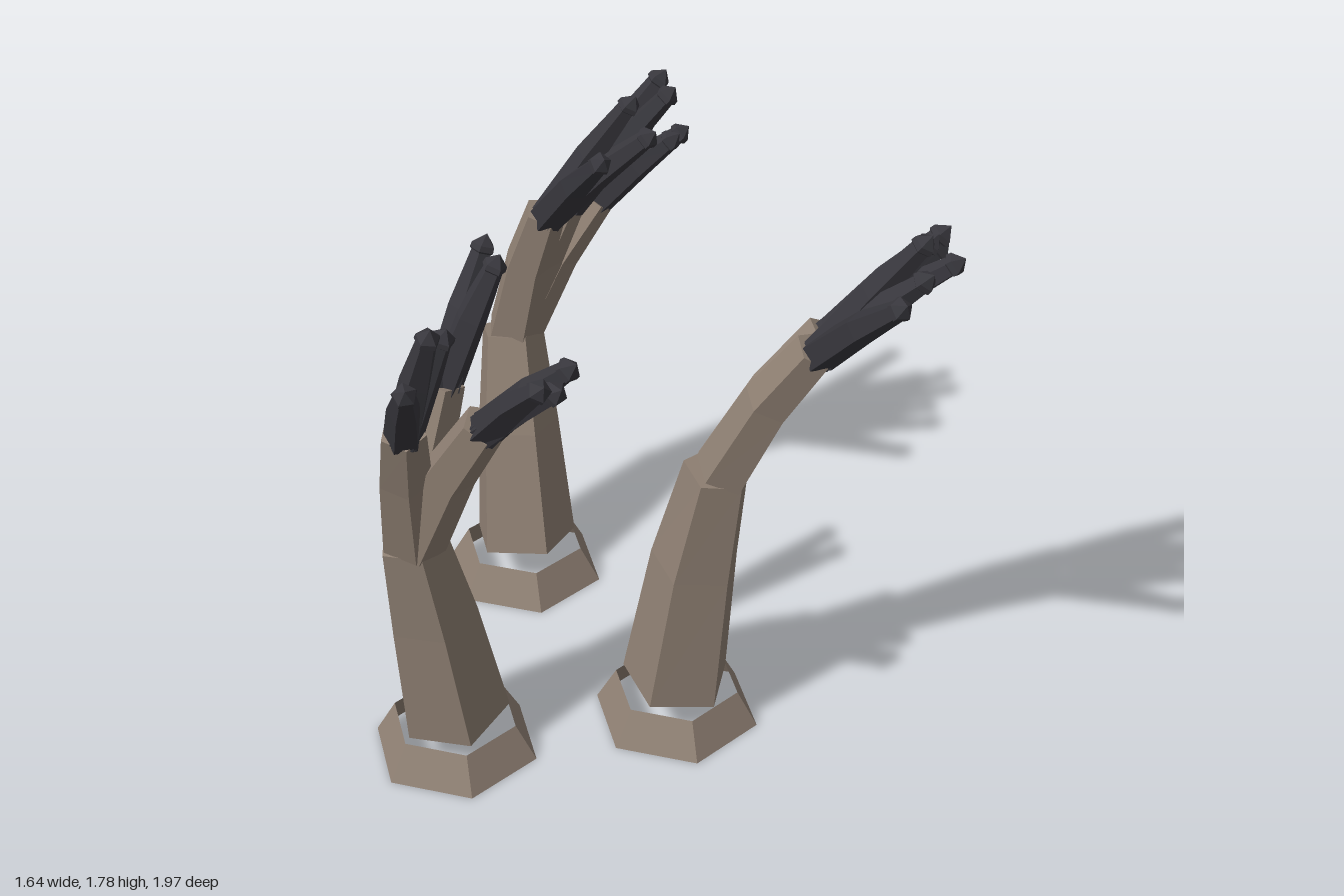
import * as THREE from 'three';

const bark = new THREE.MeshStandardMaterial({ color: 0x8f8073, flatShading: true, side: THREE.DoubleSide });
const dark = new THREE.MeshStandardMaterial({ color: 0x38373d, flatShading: true, side: THREE.DoubleSide });
const V = (p) => new THREE.Vector3(...p);
const UP = new THREE.Vector3(0, 1, 0);

// Capped faceted limb swept through a few points with a radius at each
function limb(name, points, radii, phase, material, sides = 5) {
  const n = points.length, pos = [], index = [];
  points.forEach((p, i) => {
    const t = points[Math.min(i + 1, n - 1)].clone().sub(points[Math.max(i - 1, 0)]).normalize();
    const q = new THREE.Quaternion().setFromUnitVectors(UP, t);
    for (let k = 0; k < sides; k++) {
      const a = phase + (k / sides) * Math.PI * 2;
      const v = new THREE.Vector3(Math.cos(a), 0, Math.sin(a)).multiplyScalar(radii[i]).applyQuaternion(q).add(p);
      pos.push(v.x, v.y, v.z);
    }
  });
  for (let i = 0; i < n - 1; i++) {
    for (let k = 0; k < sides; k++) {
      const a = i * sides + k, b = i * sides + (k + 1) % sides;
      index.push(a, a + sides, b, b, a + sides, b + sides);
    }
  }
  const last = (n - 1) * sides;
  for (let k = 1; k < sides - 1; k++) {
    index.push(0, k, k + 1);
    if (radii[n - 1] > 0) index.push(last, last + k + 1, last + k);
  }
  const g = new THREE.BufferGeometry();
  g.setAttribute('position', new THREE.Float32BufferAttribute(pos, 3));
  g.setIndex(index);
  g.computeVertexNormals();
  const mesh = new THREE.Mesh(g, material);
  mesh.name = name;
  return mesh;
}

// Dark finger ending in a small flared, pointed cap
function finger(from, tip) {
  const dir = tip.clone().sub(from).normalize();
  const side = tip.clone().sub(from).setY(0).multiplyScalar(0.06);
  const start = from.clone().add(side).addScaledVector(dir, -0.02);
  const mid = start.clone().lerp(tip, 0.5).add(new THREE.Vector3(0, 0.012, 0));
  const back = (d) => tip.clone().addScaledVector(dir, -d);
  return limb('finger', [start, mid, back(0.05), back(0.045), back(0.03), tip],
    [0.052, 0.044, 0.028, 0.034, 0.032, 0], tip.x * 9, dark);
}

// Each tree: base centre, trunk bend and top, trunk turn, branches with end point and finger tips
const trees = [
  {
    name: 'backTree', base: [-0.585, -0.435], bend: [-0.615, 0.52, -0.485], top: [-0.64, 0.82, -0.54], turn: 189,
    branches: [
      { end: [-0.5, 1.28, -0.48], tips: [[-0.23, 1.64, -0.2], [-0.22, 1.7, -0.47], [-0.15, 1.62, -0.43]] },
      { end: [-0.47, 1.27, -0.58], tips: [[-0.15, 1.66, -0.63], [-0.2, 1.67, -0.71]] },
      { end: [-0.43, 1.2, -0.73], tips: [[-0.3, 1.42, -0.98], [-0.18, 1.43, -0.78], [-0.17, 1.42, -0.85]] },
    ],
  },
  {
    name: 'middleTree', base: [0.065, 0.105], bend: [0.125, 0.58, 0.12], top: [0.19, 0.92, 0.14], turn: 175,
    branches: [
      { end: [0.465, 1.39, 0.19], tips: [[0.74, 1.72, 0.44], [0.77, 1.7, 0.245], [0.75, 1.78, 0.19], [0.755, 1.75, 0.125]] },
      { end: [0.46, 1.35, 0.04], tips: [[0.81, 1.62, 0.01], [0.755, 1.67, -0.06], [0.745, 1.6, -0.11]] },
    ],
  },
  {
    name: 'frontTree', base: [-0.51, 0.425], bend: [-0.54, 0.52, 0.48], top: [-0.56, 0.82, 0.54], turn: 270,
    branches: [
      { end: [-0.48, 1.29, 0.455], tips: [[-0.39, 1.67, 0.31], [-0.33, 1.66, 0.385]] },
      { end: [-0.29, 1.32, 0.66], tips: [[-0.01, 1.61, 0.75], [-0.02, 1.59, 0.84], [-0.05, 1.62, 0.885]] },
      { end: [-0.49, 1.3, 0.72], tips: [[-0.36, 1.69, 0.82], [-0.37, 1.61, 0.98], [-0.34, 1.66, 0.76]] },
    ],
  },
];

function buildTree({ name, base: [x, z], bend, top, turn, branches }) {
  const tree = new THREE.Group();
  tree.name = name;

  // Open six-sided collar on the ground
  const collar = new THREE.Mesh(new THREE.CylinderGeometry(0.185, 0.245, 0.11, 6, 1, true, Math.PI / 2), bark);
  collar.name = 'baseCollar';
  collar.position.set(x, 0.055, z);
  tree.add(collar);

  const phase = THREE.MathUtils.degToRad(turn);
  tree.add(limb('trunk', [V([x, 0.13, z]), V(bend), V(top)], [0.16, 0.13, 0.097], phase, bark));

  // Branches fan out of the trunk top and split into fingers
  for (const { end, tips } of branches) {
    const e = V(end), t = V(top);
    const start = t.clone().add(e.clone().sub(t).setY(0).multiplyScalar(0.06));
    const mid = start.clone().lerp(e, 0.52).add(new THREE.Vector3(-0.005, 0.025, 0));
    const branch = new THREE.Group();
    branch.name = 'branch';
    branch.add(limb('branchStem', [start, mid, e], [0.085, 0.074, 0.062], phase + 0.15, bark));
    tips.forEach((tip) => branch.add(finger(e, V(tip))));
    tree.add(branch);
  }
  return tree;
}

export function createModel() {
  const model = new THREE.Group();
  model.name = 'bentTrees';
  trees.forEach((t) => model.add(buildTree(t)));
  return model;
}
